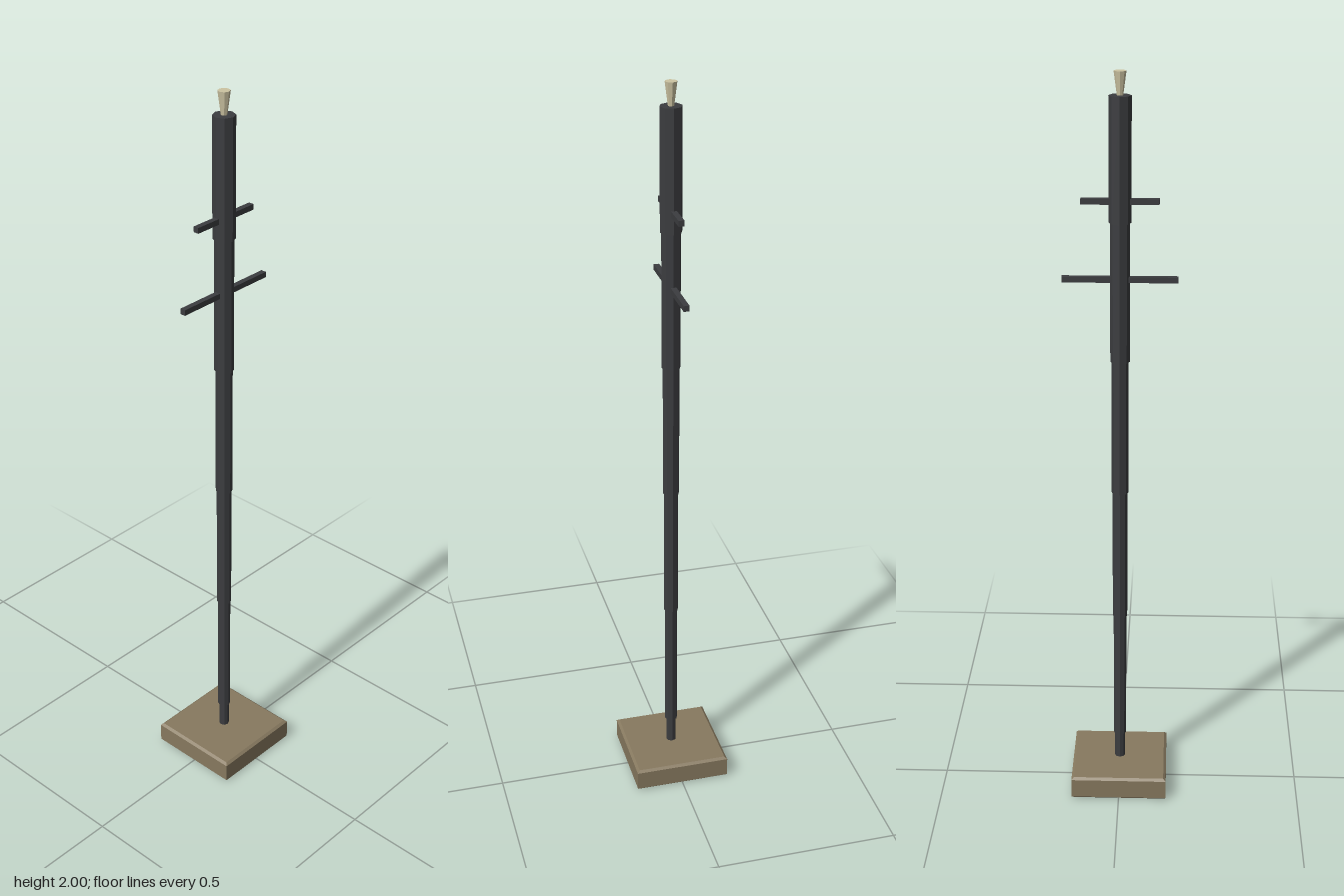
import * as THREE from 'three';

const mat = (name, color) => {
  const m = new THREE.MeshStandardMaterial({ color, flatShading: true });
  m.name = name;
  return m;
};

export function createModel() {
  const iron = mat('dark iron', 0x3c3d40);
  const stone = mat('brown stone', 0x87795f);
  const cream = mat('pale cream', 0xcdc4a2);
  const group = new THREE.Group();

  const add = (name, geometry, material, y) => {
    const mesh = new THREE.Mesh(geometry, material);
    mesh.name = name;
    mesh.position.y = y;
    group.add(mesh);
    return mesh;
  };

  // Square base with chamfered edges
  const half = 0.125;
  const square = new THREE.Shape([
    new THREE.Vector2(-half, -half), new THREE.Vector2(half, -half),
    new THREE.Vector2(half, half), new THREE.Vector2(-half, half),
  ]);
  const slab = new THREE.ExtrudeGeometry(square, {
    depth: 0.053, bevelEnabled: true, bevelThickness: 0.006, bevelSize: 0.007, bevelSegments: 1,
  });
  slab.rotateX(-Math.PI / 2);
  add('base', slab, stone, 0.006);

  // Octagonal pole, each section a little wider than the one below: [bottom, top, radius]
  const sections = [
    [0.06, 0.14, 0.014], [0.14, 0.51, 0.0175], [0.51, 0.88, 0.02],
    [0.88, 1.25, 0.0225], [1.25, 1.62, 0.0255], [1.62, 1.94, 0.029],
  ];
  sections.forEach(([y0, y1, r], i) => {
    add(`poleSection${i + 1}`, new THREE.CylinderGeometry(r, r, y1 - y0, 8), iron, (y0 + y1) / 2);
  });

  // Crossbars
  add('lowerCrossbar', new THREE.BoxGeometry(0.3, 0.015, 0.015), iron, 1.472);
  add('upperCrossbar', new THREE.BoxGeometry(0.2, 0.015, 0.015), iron, 1.675);

  // Flared finial
  add('finial', new THREE.CylinderGeometry(0.016, 0.008, 0.06, 8), cream, 1.97);

  return group;
}
